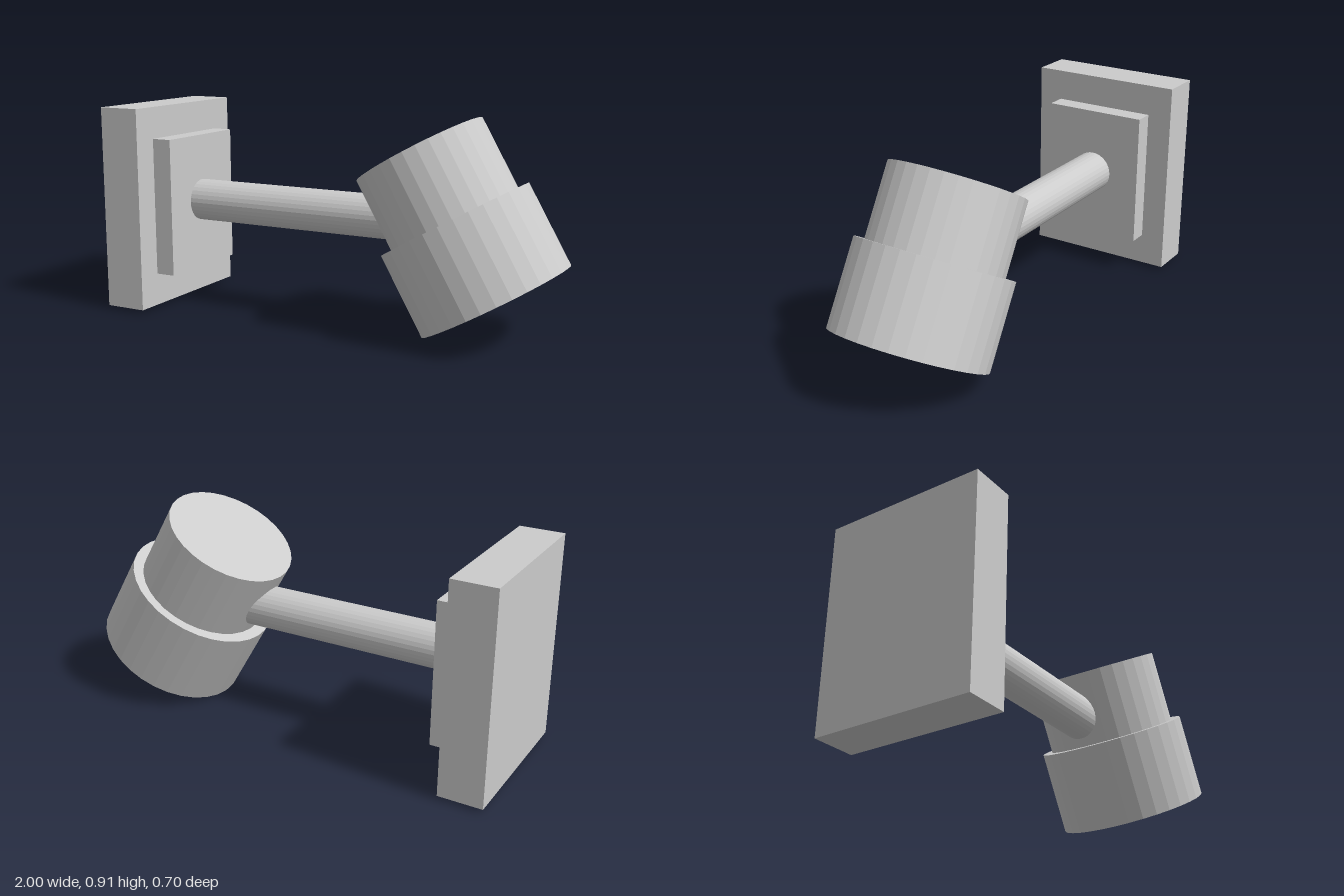
import * as THREE from 'three';

export function createModel() {
  const group = new THREE.Group();
  const material = new THREE.MeshStandardMaterial({ color: 0xcccccc, flatShading: true });

  const add = (parent, name, geometry, x, y) => {
    const mesh = new THREE.Mesh(geometry, material);
    mesh.name = name;
    mesh.position.set(x, y, 0);
    parent.add(mesh);
    return mesh;
  };

  // Wall mount: thick back plate with a smaller raised plate
  add(group, 'backPlate', new THREE.BoxGeometry(0.19, 0.894, 0.7), -0.905, 0.464);
  add(group, 'raisedPlate', new THREE.BoxGeometry(0.09, 0.61, 0.475), -0.765, 0.466);

  // Horizontal arm running into the head
  const arm = add(group, 'arm', new THREE.CylinderGeometry(0.093, 0.093, 1.12, 32), -0.16, 0.473);
  arm.rotation.z = Math.PI / 2;

  // Tilted head: origin at the centre of its lower face, local y along its axis
  const head = new THREE.Group();
  head.name = 'head';
  head.position.set(0.708, 0.17, 0);
  head.rotation.z = Math.PI / 6;
  group.add(head);

  const shade = add(head, 'headLower', new THREE.CylinderGeometry(0.337, 0.337, 0.37, 32), 0, 0.185);
  shade.scale.z = 0.976;
  add(head, 'headUpper', new THREE.CylinderGeometry(0.288, 0.288, 0.33, 32), 0, 0.525);

  return group;
}
